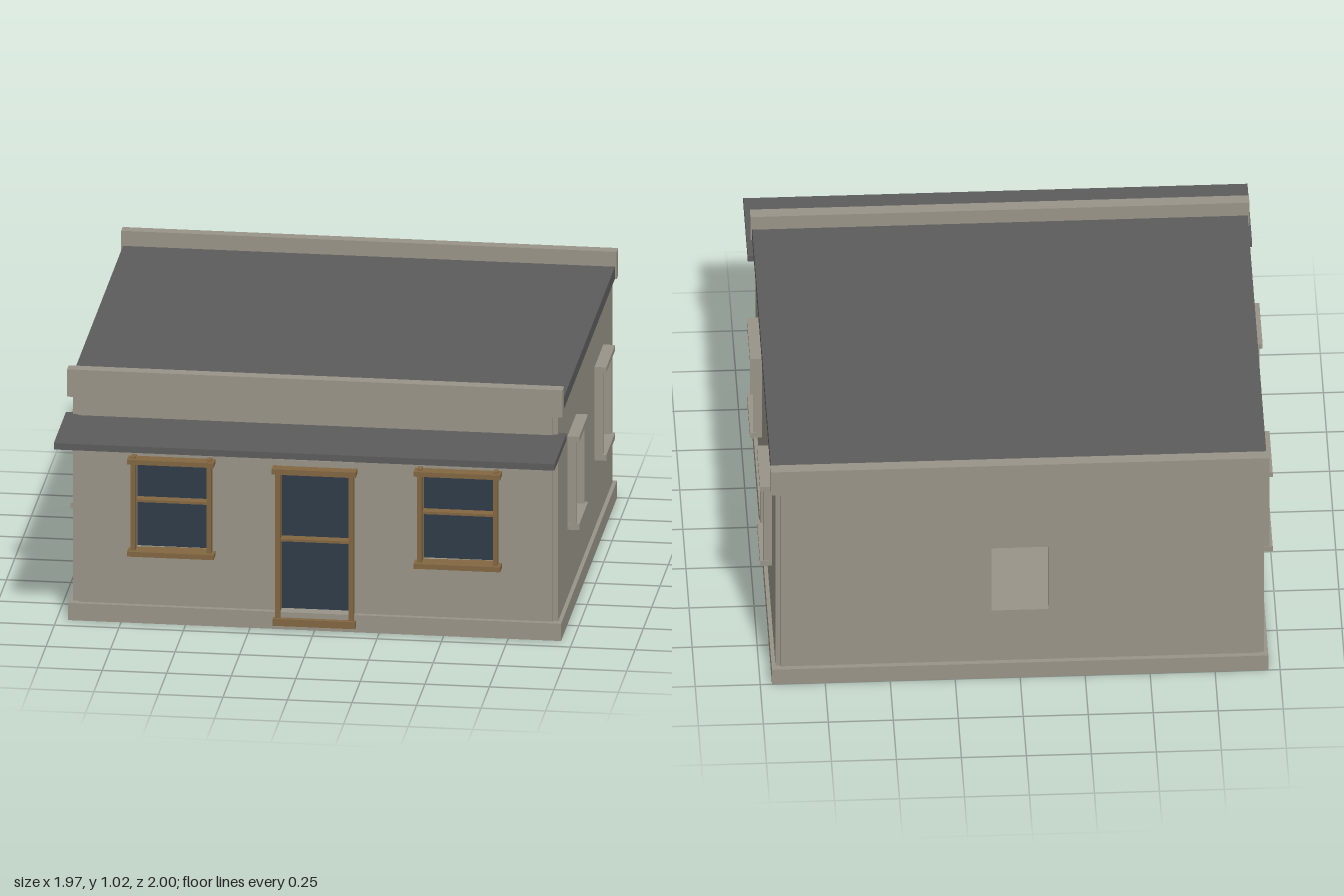
import * as THREE from 'three';

const mat = (name, color) => {
  const m = new THREE.MeshStandardMaterial({ color });
  m.name = name;
  return m;
};

export function createModel() {
  const plaster = mat('plaster', 0x999488);
  const roofing = mat('roofing', 0x5c5c5c);
  const wood = mat('wood', 0x826741);
  const glass = mat('glass', 0x2e3c47);

  const model = new THREE.Group();
  model.name = 'building';

  // Box given by its min and max corners
  const box = (parent, name, material, [x0, x1], [y0, y1], [z0, z1]) => {
    const mesh = new THREE.Mesh(new THREE.BoxGeometry(x1 - x0, y1 - y0, z1 - z0), material);
    mesh.position.set((x0 + x1) / 2, (y0 + y1) / 2, (z0 + z1) / 2);
    mesh.name = name;
    parent.add(mesh);
    return mesh;
  };

  const rect = (path, x0, x1, y0, y1) =>
    path.moveTo(x0, y0).lineTo(x1, y0).lineTo(x1, y1).lineTo(x0, y1).closePath();

  // Wall slab with rectangular openings; its outer face lies on local z = 0
  const T = 0.035;
  const wall = (name, x0, x1, openings) => {
    const group = new THREE.Group();
    group.name = name;
    const shape = rect(new THREE.Shape(), x0, x1, 0.05, 0.92);
    for (const o of openings) shape.holes.push(rect(new THREE.Path(), ...o));
    const geo = new THREE.ExtrudeGeometry(shape, { depth: T, bevelEnabled: false });
    geo.translate(0, 0, -T);
    const slab = new THREE.Mesh(geo, plaster);
    slab.name = name + 'Slab';
    group.add(slab);
    model.add(group);
    return group;
  };

  const pane = (parent, x0, x1, y0, y1) =>
    box(parent, 'glassPane', glass, [x0 - 0.01, x1 + 0.01], [y0 - 0.01, y1 + 0.01], [-T - 0.002, -T + 0.006]);

  // Plinth and floor
  box(model, 'plinth', plaster, [-0.955, 0.955], [0, 0.07], [-1, 0.685]);

  // Front wall with two windows and a door
  const windowX = [-0.555, 0.555];
  const front = wall('frontWall', -0.92, 0.92, [
    ...windowX.map((x) => [x - 0.138, x + 0.138, 0.3, 0.655]),
    [-0.135, 0.135, 0.06, 0.64],
  ]);
  front.position.z = 0.665;

  for (const x of windowX) {
    const w = new THREE.Group();
    w.name = 'frontWindow';
    w.position.x = x;
    front.add(w);
    pane(w, -0.138, 0.138, 0.3, 0.655);
    for (const s of [-1, 1]) {
      const jamb = box(w, 'windowJamb', wood, [-0.009, 0.009], [0.274, 0.68], [-0.025, 0.035]);
      jamb.position.x = s * 0.147;
    }
    box(w, 'windowHead', wood, [-0.168, 0.168], [0.655, 0.674], [-0.025, 0.052]);
    box(w, 'windowSill', wood, [-0.168, 0.168], [0.28, 0.3], [-0.025, 0.052]);
    box(w, 'windowRail', wood, [-0.14, 0.14], [0.49, 0.5], [-0.03, 0.012]);
  }

  // Door
  const door = new THREE.Group();
  door.name = 'door';
  front.add(door);
  pane(door, -0.135, 0.135, 0.07, 0.64);
  for (const s of [-1, 1]) {
    const jamb = box(door, 'doorJamb', wood, [-0.01, 0.01], [0.045, 0.645], [-0.025, 0.03]);
    jamb.position.x = s * 0.143;
  }
  box(door, 'doorHead', wood, [-0.163, 0.163], [0.638, 0.66], [-0.025, 0.05]);
  box(door, 'doorStep', wood, [-0.16, 0.16], [0.02, 0.048], [0, 0.042]);
  box(door, 'doorRail', wood, [-0.135, 0.135], [0.355, 0.365], [-0.03, 0.012]);
  box(door, 'doorLintel', plaster, [-0.15, 0.15], [0.66, 0.685], [-0.01, 0.005]);

  // Back wall with an open hatch
  const back = wall('backWall', -0.92, 0.92, [[-0.11, 0.11, 0.31, 0.61]]);
  back.position.z = -0.98;
  back.rotation.y = Math.PI;

  // Side walls, each with two framed windows
  for (const s of [-1, 1]) {
    const centres = [0.245, -0.57].map((z) => -s * z);
    const side = wall(s > 0 ? 'leftWall' : 'rightWall',
      s > 0 ? -0.655 : -0.975, s > 0 ? 0.975 : 0.655,
      centres.map((c) => [c - 0.11, c + 0.11, 0.37, 0.705]));
    side.position.x = s * 0.94;
    side.rotation.y = s * Math.PI / 2;
    for (const c of centres) {
      const w = new THREE.Group();
      w.name = 'sideWindow';
      w.position.x = c;
      side.add(w);
      pane(w, -0.11, 0.11, 0.37, 0.705);
      for (const e of [-1, 1]) {
        const jamb = box(w, 'sideJamb', plaster, [-0.01, 0.01], [0.365, 0.71], [-0.01, 0.034]);
        jamb.position.x = e * 0.12;
      }
      box(w, 'sideHead', plaster, [-0.132, 0.132], [0.705, 0.726], [-0.01, 0.046]);
      box(w, 'sideSill', plaster, [-0.132, 0.132], [0.346, 0.37], [-0.01, 0.046]);
    }
  }

  // Roof slab, parapets and awning
  box(model, 'roof', roofing, [-0.953, 0.953], [0.908, 0.957], [-0.96, 0.64]);
  box(model, 'frontParapet', plaster, [-0.96, 0.96], [0.907, 1.018], [0.63, 0.678]);
  box(model, 'backParapet', plaster, [-0.96, 0.96], [0.907, 1.018], [-0.995, -0.95]);
  box(model, 'awning', roofing, [-0.97, 0.97], [0.803, 0.829], [0.632, 1]);

  return model;
}
